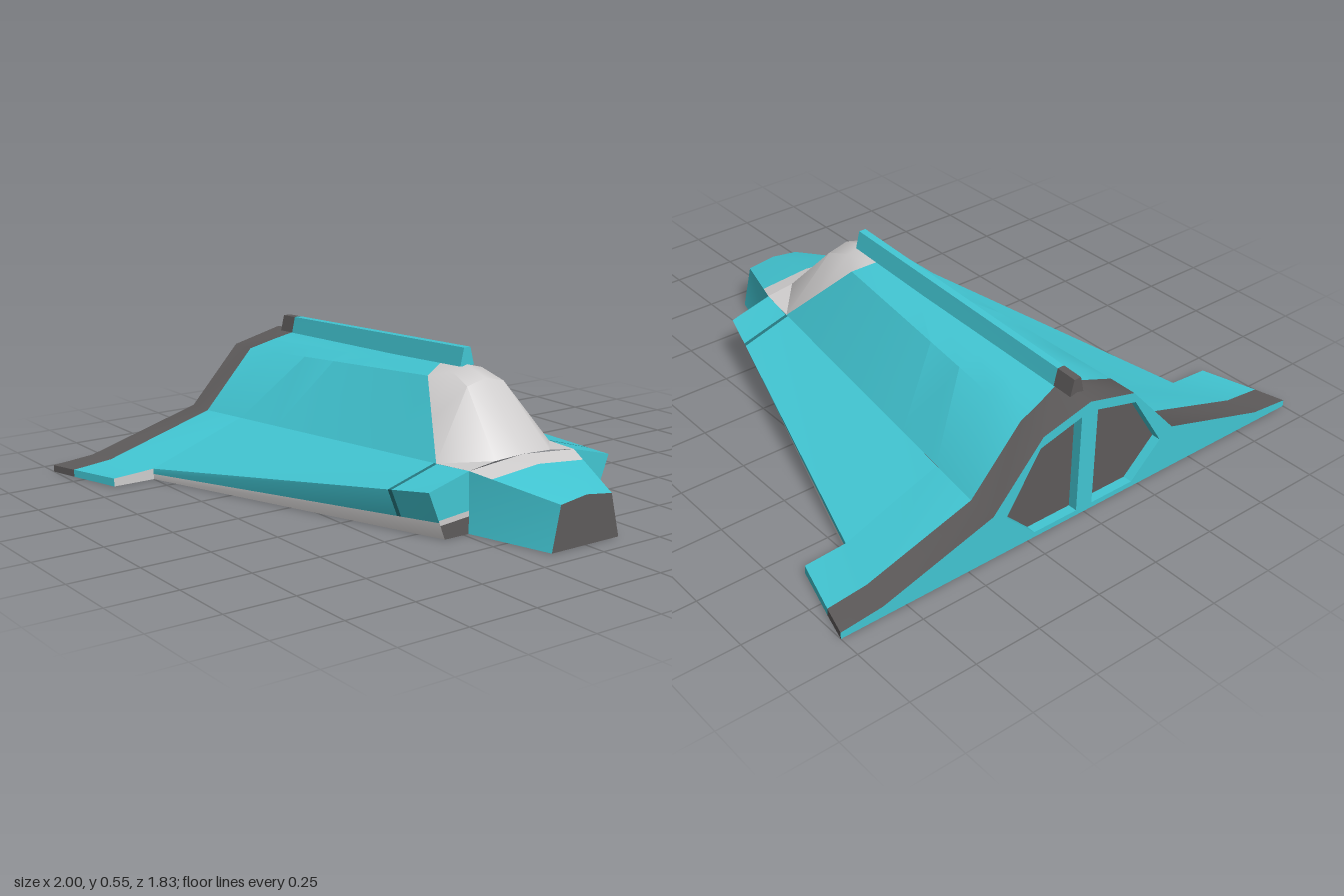
import * as THREE from 'three';
import { toCreasedNormals } from 'three/addons/utils/BufferGeometryUtils.js';

export function createModel() {
  const model = new THREE.Group();
  model.name = 'spacecraft';
  const material = (name, color) => {
    const m = new THREE.MeshStandardMaterial({ color });
    m.name = name;
    return m;
  };
  const teal = material('teal paint', 0x42c6d3);
  const deepTeal = material('deep teal seam', 0x267880);
  const dark = material('dark grey', 0x5e5b5b);
  const light = material('light grey', 0xcfcdcd);

  const add = (name, geo, mat) => {
    const mesh = new THREE.Mesh(geo, mat);
    mesh.name = name;
    model.add(mesh);
    return mesh;
  };

  // Skin between rows of points on the +x half, mirrored to -x
  function panel(name, mat, rows, crease = 0.6) {
    const pos = [];
    const tri = (a, b, c) => {
      pos.push(...a, ...b, ...c);
      for (const p of [a, c, b]) pos.push(-p[0], p[1], p[2]);
    };
    for (let i = 0; i + 1 < rows.length; i++) {
      for (let j = 0; j + 1 < rows[i].length; j++) {
        const a = rows[i][j], b = rows[i][j + 1], c = rows[i + 1][j + 1], d = rows[i + 1][j];
        tri(a, b, c);
        tri(a, c, d);
      }
    }
    const geo = new THREE.BufferGeometry();
    geo.setAttribute('position', new THREE.Float32BufferAttribute(pos, 3));
    return add(name, toCreasedNormals(geo, crease), mat);
  }
  // Row of [x, y] points at one z
  const at = (z, ...pts) => pts.map(([x, y]) => [x, y, z]);
  const mix = (r, s, t) => r.map((p, i) => p.map((v, k) => v + (s[i][k] - v) * t));

  // Fuselage
  const hullFront = [[0, 0.485, 0.17], [0.055, 0.4675, 0.195], [0.11, 0.45, 0.22], [0.25, 0.21, 0.45]];
  const hullRear = [[0, 0.445, -0.77], [0.1, 0.418, -0.79], [0.2, 0.39, -0.805], [0.4, 0.17, -0.805]];
  const hullRows = [];
  for (let i = 0; i <= 6; i++) hullRows.push(mix(hullFront, hullRear, i / 6));
  panel('fuselage', teal, hullRows);

  // Canopy
  panel('canopy', light, [
    at(0.6, [0, 0.235], [0.12, 0.23], [0.23, 0.215]),
    [[0, 0.46, 0.4], [0.08, 0.44, 0.4], [0.25, 0.21, 0.45]],
    [[0, 0.49, 0.3], [0.065, 0.472, 0.3], [0.18, 0.33, 0.335]],
    hullFront.slice(0, 3),
  ], 0.7);

  // Nose
  const noseBack = at(0.6, [0, 0.235], [0.23, 0.215]);
  const noseTip = at(0.915, [0, 0.17], [0.11, 0.155]);
  const noseSplit = mix(noseBack, noseTip, 0.254);
  panel('noseTop', teal, [noseTip, noseSplit]);
  panel('canopySill', light, [noseSplit, noseBack]);
  panel('noseSide', teal, [
    at(0.915, [0.11, 0.155], [0.145, 0]),
    at(0.6, [0.23, 0.215], [0.23, 0]),
  ]);
  panel('noseFront', dark, [at(0.915, [0, 0], [0.145, 0]), noseTip]);

  // Wing: top, upper side, lower side stripe, with a seam near the front
  const wingFront = at(0.6, [0.23, 0.215], [0.395, 0.17], [0.351, 0.06], [0.33, 0]);
  const wingRear = at(-0.6, [0.376, 0.177], [0.75, 0.04], [0.75, 0.02], [0.75, 0]);
  const station = (z, x, y) => {
    const row = mix(wingFront, wingRear, (0.6 - z) / 1.2);
    row[0] = [x, y, z];
    return row;
  };
  const seamA = station(0.455, 0.25, 0.21);
  const seamB = station(0.44, 0.251, 0.21);
  const skin = (row) => row.slice(0, 3);
  panel('wingFrontSkin', teal, [skin(wingFront), skin(seamA)]);
  panel('wingSeam', deepTeal, [skin(seamA), skin(seamB)]);
  panel('wingSkin', teal, [skin(seamB), skin(wingRear)]);
  panel('wingStripe', light, [wingFront.slice(2), wingRear.slice(2)]);

  // Wing leading face, bottom to top
  const lip = [
    at(0.6, [0.23, 0], [0.33, 0]),
    at(0.6, [0.23, 0.06], [0.348, 0.05]),
    at(0.6, [0.23, 0.08], [0.355, 0.068]),
    at(0.6, [0.23, 0.215], [0.395, 0.17]),
  ];
  [['wingIntake', dark], ['wingIntakeTrim', light], ['wingLeadingFace', teal]]
    .forEach(([name, mat], i) => panel(name, mat, [lip[i], lip[i + 1]]));

  // Winglet
  panel('winglet', teal, [
    at(-0.6, [0.376, 0.177], [0.75, 0.04], [0.91, 0.03], [0.91, 0]),
    at(-0.805, [0.4, 0.17], [0.82, 0.042], [0.97, 0.027], [0.97, 0]),
  ]);
  panel('wingletFront', light, [
    at(-0.6, [0.75, 0], [0.91, 0]),
    at(-0.6, [0.75, 0.04], [0.91, 0.03]),
  ]);

  // Dark band wrapping the stern
  const stern = [[0, 0.44], [0.2, 0.39], [0.4, 0.17], [0.84, 0.04], [1, 0.025], [1, 0]];
  panel('sternBand', dark, [
    [hullRear[0], ...at(-0.805, [0.2, 0.39], [0.4, 0.17], [0.82, 0.042], [0.97, 0.027], [0.97, 0], [0, 0])],
    at(-0.915, ...stern, [0, 0]),
  ]);

  // Flat underside, one piece per change of width
  const widths = [[-0.805, 0.97, -0.6, 0.91], [-0.6, 0.75, 0.6, 0.33], [0.6, 0.23, 0.915, 0.145]];
  for (const [z0, x0, z1, x1] of widths) {
    panel('underside', teal, [at(z0, [0, 0], [x0, 0]), at(z1, [0, 0], [x1, 0])]);
  }

  // Stern face with two recessed engine openings
  const opening = [[0.035, 0.02], [0.22, 0.02], [0.345, 0.14], [0.21, 0.35], [0.035, 0.395]];
  const vectors = (pts, s = 1) => pts.map(([x, y]) => new THREE.Vector2(s * x, y));
  const outline = [...stern, ...stern.slice(1).reverse().map(([x, y]) => [-x, y])];
  const face = new THREE.Shape(vectors(outline));
  for (const s of [1, -1]) {
    face.holes.push(new THREE.Path(vectors(opening, s)));
    const engine = new THREE.ShapeGeometry(new THREE.Shape(vectors(opening, s)));
    engine.rotateY(Math.PI).translate(0, 0, -0.88);
    add('engine', engine, dark);
  }
  add('sternFace', new THREE.ShapeGeometry(face).rotateY(Math.PI).translate(0, 0, -0.915), teal);
  const ring = [...opening, opening[0]];
  panel('engineRim', teal, [at(-0.88, ...ring), at(-0.915, ...ring)]);

  // Spine along the top with a dark tail end
  const spine = (z, top, base) => at(z, [0, top], [0.014, top], [0.03, base], [0, base]);
  const s0 = spine(0.3, 0.55, 0.485);
  const s1 = spine(-0.77, 0.499, 0.43);
  const s2 = spine(-0.85, 0.495, 0.43);
  panel('spine', teal, [s0, s1]);
  panel('spineTail', dark, [s1, s2]);
  panel('spineFront', teal, [[s0[3], s0[2]], [s0[0], s0[1]]]);
  panel('spineEnd', dark, [[s2[0], s2[1]], [s2[3], s2[2]]]);

  return model;
}
